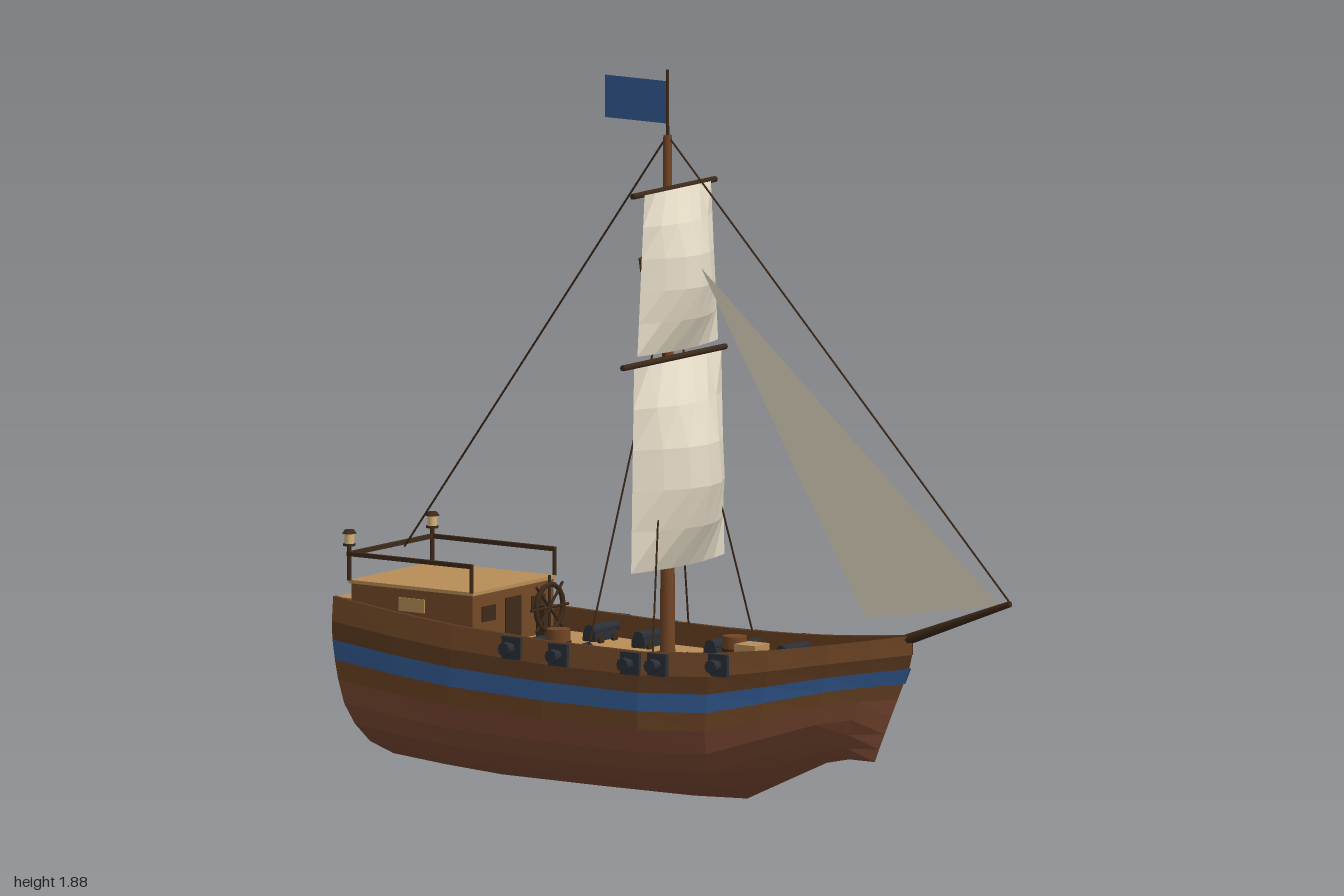
import * as THREE from 'three';

const mat = (name, color, side = THREE.FrontSide) => Object.assign(new THREE.MeshStandardMaterial({ color, side }), { name });
const V = (x, y, z) => new THREE.Vector3(x, y, z);

// Hull stations: z at rail, z at keel, half beam, keel height, rail height
const STATIONS = [
  [-1, -0.94, 0.195, 0.03, 0.455], [-0.8, -0.78, 0.217, 0.016, 0.435], [-0.6, -0.6, 0.236, 0.005, 0.42],
  [-0.3, -0.3, 0.25, 0.003, 0.408], [0, 0, 0.25, 0.003, 0.405], [0.2, 0.17, 0.22, 0.01, 0.415],
  [0.35, 0.3, 0.172, 0.07, 0.43], [0.5, 0.42, 0.112, 0.125, 0.45], [0.6, 0.49, 0.062, 0.14, 0.465],
  [0.69, 0.57, 0.004, 0.14, 0.48],
];
// Cross-section: height fraction, width fraction
const PROFILE = [[0, 0], [0.1, 0.48], [0.22, 0.76], [0.35, 0.93], [0.5, 0.99], [0.62, 1], [0.74, 0.99], [0.85, 0.97], [1, 0.94]];
const DECK_T = 0.85;

function widthAt(t) {
  const i = Math.max(1, PROFILE.findIndex(p => p[0] >= t));
  const [a, b] = [PROFILE[i - 1], PROFILE[i]];
  return a[1] + (b[1] - a[1]) * (t - a[0]) / (b[0] - a[0]);
}
// The ends rake up to the stripe and stand upright above it
const hullPoint = (s, t, side, inset = 0) =>
  V(side * Math.max(0, s[2] * widthAt(t) - inset), s[3] + (s[4] - s[3]) * t, s[1] + (s[0] - s[1]) * Math.min(1, t / 0.8));

// Interpolated station at a given rail z
function stationAt(z) {
  const i = Math.max(1, STATIONS.findIndex(s => s[0] >= z));
  const [a, b] = [STATIONS[i - 1], STATIONS[i]];
  return a.map((v, k) => v + (b[k] - v) * (z - a[0]) / (b[0] - a[0]));
}

// Faceted surface through rows of points
function grid(rows, flip = false) {
  const pos = [];
  const tri = (a, b, c) => (flip ? [a, c, b] : [a, b, c]).forEach(p => pos.push(p.x, p.y, p.z));
  for (let i = 0; i < rows.length - 1; i++) {
    for (let j = 0; j < rows[i].length - 1; j++) {
      const a = rows[i][j], b = rows[i + 1][j], c = rows[i][j + 1], d = rows[i + 1][j + 1];
      tri(a, c, b);
      tri(b, c, d);
    }
  }
  const g = new THREE.BufferGeometry();
  g.setAttribute('position', new THREE.Float32BufferAttribute(pos, 3));
  g.computeVertexNormals();
  return g;
}

export function createModel() {
  const ship = new THREE.Group();
  ship.name = 'sailingShip';
  const M = {
    plank: mat('plankBrown', 0x754a28), wale: mat('waleBrown', 0x5c3a20), bottom: mat('hullRedBrown', 0x824e36),
    dark: mat('darkWood', 0x3e2a1a), deck: mat('deckTan', 0xb88e58), blue: mat('blue', 0x345c94, THREE.DoubleSide),
    sail: mat('canvas', 0xe4dbc6, THREE.DoubleSide), iron: mat('iron', 0x2b2f38),
    mast: mat('mastBrown', 0x744626), glass: mat('lampGlass', 0xd9b878),
  };
  const add = (name, geo, m, x = 0, y = 0, z = 0, parent = ship) => {
    const mesh = new THREE.Mesh(geo, m);
    mesh.name = name;
    mesh.position.set(x, y, z);
    parent.add(mesh);
    return mesh;
  };
  const box = (name, w, h, d, m, x, y, z, parent) => add(name, new THREE.BoxGeometry(w, h, d), m, x, y, z, parent);
  const cyl = (name, r1, r2, h, n, m, x, y, z, parent) => add(name, new THREE.CylinderGeometry(r1, r2, h, n), m, x, y, z, parent);
  const rod = (name, a, b, rA, rB, m, n = 6, parent = ship) => {
    const mesh = cyl(name, rB, rA, a.distanceTo(b), n, m, 0, 0, 0, parent);
    mesh.position.copy(a).lerp(b, 0.5);
    mesh.quaternion.setFromUnitVectors(V(0, 1, 0), b.clone().sub(a).normalize());
    return mesh;
  };

  // Hull in coloured strakes, with bulwark lining and rail cap
  const bands = [['hullBottom', 0, 4, M.bottom], ['hullSide', 4, 5, M.plank], ['blueStripe', 5, 6, M.blue],
    ['wale', 6, 7, M.wale], ['bulwark', 7, 8, M.plank]];
  for (const side of [1, -1]) {
    for (const [name, j0, j1, m] of bands) {
      add(name, grid(STATIONS.map(s => PROFILE.slice(j0, j1 + 1).map(p => hullPoint(s, p[0], side))), side < 0), m);
    }
    add('railCap', grid(STATIONS.map(s => [hullPoint(s, 1, side), hullPoint(s, 1, side, 0.013)]), side < 0), M.wale);
    add('bulwarkLining', grid(STATIONS.map(s => [hullPoint(s, 1, side, 0.013), hullPoint(s, DECK_T, side, 0.013)]), side < 0), M.plank);
  }
  add('deck', grid(STATIONS.map(s => [hullPoint(s, DECK_T, 1, 0.008), hullPoint(s, DECK_T, -1, 0.008)])), M.deck);
  const sternEdges = [-1, 1].map(side => PROFILE.map(p => hullPoint(STATIONS[0], p[0], side)));
  add('transom', grid(sternEdges), M.plank);
  box('sternDeck', 0.35, 0.01, 0.055, M.deck, 0, 0.448, -0.971);

  // Stern cabin with roof, windows, railing and lanterns
  const cabin = new THREE.Group();
  cabin.name = 'cabin';
  ship.add(cabin);
  box('cabinWalls', 0.36, 0.16, 0.38, M.plank, 0, 0.415, -0.755, cabin);
  box('cabinRoof', 0.37, 0.009, 0.39, M.deck, 0, 0.498, -0.755, cabin);
  box('cabinDoor', 0.07, 0.11, 0.006, M.dark, 0, 0.415, -0.565, cabin);
  for (const x of [-0.12, -0.04, 0.04, 0.12]) {
    box('sternWindowFrame', 0.055, 0.034, 0.006, M.dark, x, 0.474, -0.946, cabin);
    box('sternWindow', 0.04, 0.022, 0.006, M.deck, x, 0.474, -0.949, cabin);
  }
  for (const side of [1, -1]) {
    box('sideWindow', 0.006, 0.035, 0.08, M.deck, side * 0.181, 0.453, -0.755, cabin);
    box('frontWindow', 0.06, 0.04, 0.006, M.dark, side * 0.11, 0.44, -0.565, cabin);
    for (const z of [-0.565, -0.948]) cyl('railPost', 0.006, 0.006, 0.07, 6, M.dark, side * 0.185, 0.536, z, cabin);
    box('sideRail', 0.011, 0.011, 0.39, M.dark, side * 0.185, 0.57, -0.757, cabin);
    cyl('lanternStem', 0.006, 0.006, 0.02, 6, M.dark, side * 0.185, 0.583, -0.948, cabin);
    cyl('lanternBase', 0.016, 0.016, 0.006, 8, M.dark, side * 0.185, 0.594, -0.948, cabin);
    cyl('lanternGlass', 0.013, 0.013, 0.026, 8, M.glass, side * 0.185, 0.61, -0.948, cabin);
    cyl('lanternCap', 0.012, 0.019, 0.01, 8, M.dark, side * 0.185, 0.628, -0.948, cabin);
  }
  box('sternRail', 0.38, 0.011, 0.011, M.dark, 0, 0.57, -0.948, cabin);

  // Guns along both sides
  for (const z of [-0.4, -0.25, -0.025, 0.055, 0.225]) {
    const s = stationAt(z), w = s[2], y = s[4] - 0.031;
    for (const side of [1, -1]) {
      const gun = new THREE.Group();
      gun.name = 'gun';
      gun.position.set(side * w, y, z);
      ship.add(gun);
      box('gunPort', 0.012, 0.058, 0.058, M.iron, side * -0.006, 0, 0, gun);
      rod('barrel', V(side * -0.14, 0, 0), V(side * 0.03, 0, 0), 0.017, 0.013, M.iron, 8, gun);
      rod('muzzleRing', V(side * 0.014, 0, 0), V(side * 0.032, 0, 0), 0.018, 0.018, M.iron, 8, gun);
      box('carriage', 0.1, 0.022, 0.04, M.iron, side * -0.09, -0.016, 0, gun);
      for (const dx of [-0.12, -0.06]) {
        for (const dz of [-0.023, 0.023]) {
          cyl('carriageWheel', 0.012, 0.012, 0.008, 8, M.dark, side * dx, -0.022, dz, gun).rotation.x = Math.PI / 2;
        }
      }
    }
  }

  // Steering wheel
  const wheel = new THREE.Group();
  wheel.name = 'steeringWheel';
  wheel.position.set(0, 0.452, -0.45);
  ship.add(wheel);
  add('wheelRim', new THREE.TorusGeometry(0.06, 0.007, 6, 16), M.dark, 0, 0, 0, wheel);
  for (let i = 0; i < 4; i++) {
    const a = i * Math.PI / 4, p = V(Math.cos(a) * 0.083, Math.sin(a) * 0.083, 0);
    rod('wheelSpoke', p.clone().negate(), p, 0.004, 0.004, M.dark, 5, wheel);
  }
  box('wheelPost', 0.03, 0.11, 0.025, M.dark, 0, -0.05, -0.02, wheel);

  // Deck cargo
  for (const [x, z] of [[-0.095, -0.355], [0.065, 0.085]]) {
    cyl('cask', 0.031, 0.031, 0.07, 10, M.mast, x, 0.382, z);
    cyl('caskHoop', 0.033, 0.033, 0.008, 10, M.dark, x, 0.382, z);
  }
  cyl('ropeCoil', 0.034, 0.034, 0.025, 16, M.deck, -0.125, 0.362, -0.48);
  box('crate', 0.066, 0.06, 0.066, M.deck, -0.008, 0.385, 0.19);

  // Mast, lookout, yards and bowsprit
  const mastZ = -0.08;
  cyl('mast', 0.011, 0.02, 1.37, 10, M.mast, 0, 1.025, mastZ);
  cyl('flagPole', 0.004, 0.005, 0.18, 6, M.dark, 0, 1.79, mastZ);
  cyl('lookout', 0.075, 0.07, 0.036, 10, M.wale, 0, 1.373, mastZ);
  for (const [y, w] of [[1.135, 0.23], [1.575, 0.185]]) rod('yard', V(-w, y, -0.06), V(w, y, -0.06), 0.008, 0.008, M.dark);
  rod('bowsprit', V(0, 0.41, 0.52), V(0, 0.588, 0.995), 0.017, 0.008, M.dark, 8);

  // Billowing square sails, with the foot blown a little forward
  const squareSail = (name, yTop, yBot, wTop, wBot, belly) => {
    const rows = [];
    for (let i = 0; i <= 5; i++) {
      const v = i / 5, row = [];
      for (let j = 0; j <= 6; j++) {
        const u = j / 6, bulge = Math.sin(Math.PI * u) * Math.sin(Math.PI * v * 0.9);
        row.push(V((u * 2 - 1) * (wTop + (wBot - wTop) * v), yTop + (yBot - yTop) * v, -0.048 + belly * bulge));
      }
      rows.push(row);
    }
    add(name, grid(rows, true), M.sail);
  };
  squareSail('mainSail', 1.13, 0.6, 0.195, 0.208, 0.106);
  squareSail('topSail', 1.575, 1.16, 0.148, 0.18, 0.08);
  const triangle = new THREE.BufferGeometry().setFromPoints([V(0, 0.58, 0.96), V(0, 0.512, 0.54), V(0, 1.375, 0.025)]);
  triangle.computeVertexNormals();
  add('jib', triangle, M.sail);
  add('flag', new THREE.PlaneGeometry(0.195, 0.11), M.blue, 0, 1.795, -0.178).rotation.y = Math.PI / 2;

  // Standing rigging
  const rope = (name, a, b) => rod(name, a, b, 0.0027, 0.0027, M.dark, 5);
  rope('foreStay', V(0, 0.59, 0.995), V(0, 1.71, mastZ));
  rope('backStay', V(0, 0.57, -0.905), V(0, 1.71, mastZ));
  for (const side of [1, -1]) {
    for (const z of [0.03, -0.17]) rope('shroud', V(side * 0.222, 0.405, z), V(0, 1.32, mastZ));
  }
  return ship;
}
